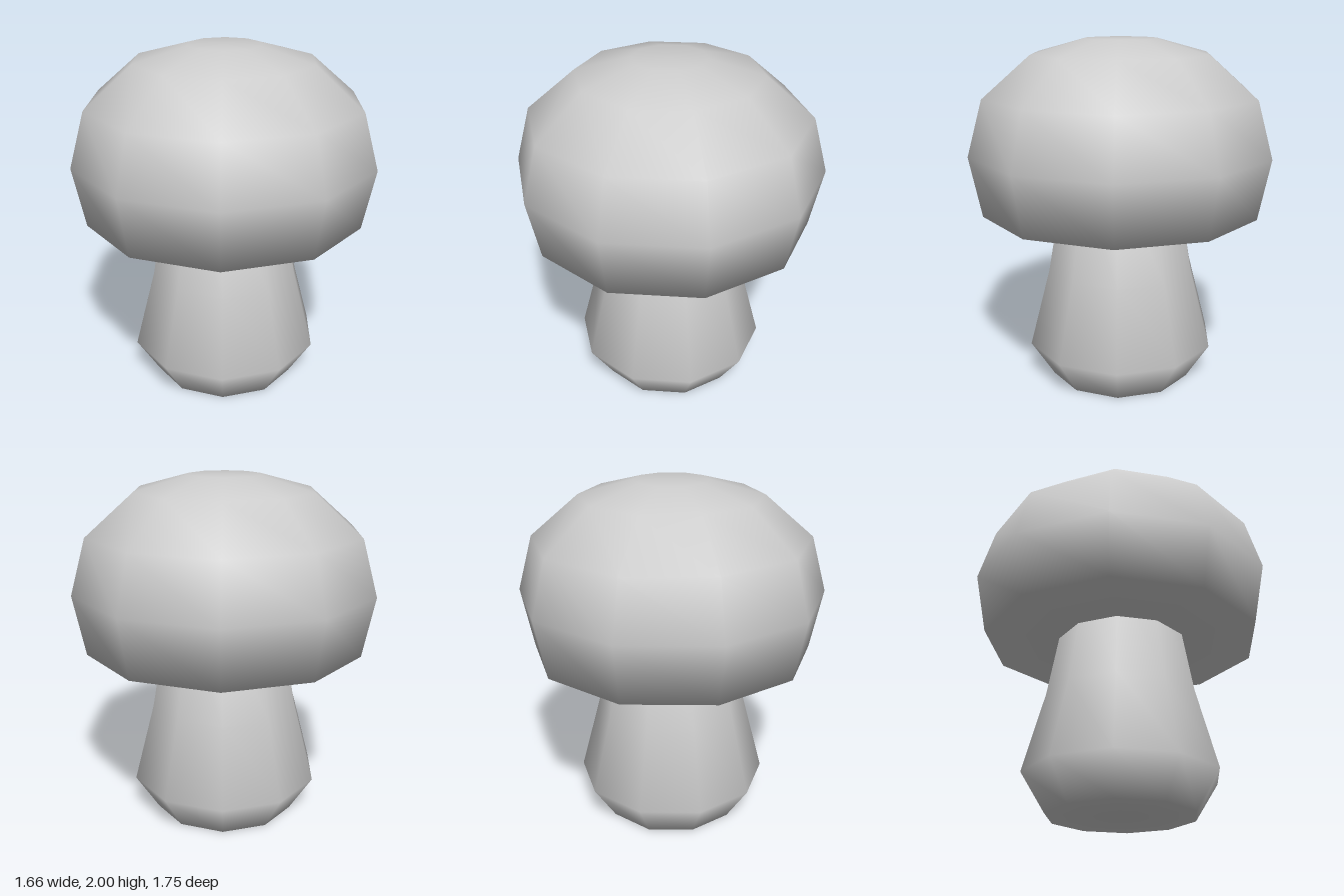
import * as THREE from 'three';
import { mergeVertices } from 'three/addons/utils/BufferGeometryUtils.js';

const SIDES = 10;

// Closed ten-sided solid of revolution, smooth over its whole surface
function smoothTurned(profile) {
  const points = profile.map(([r, y]) => new THREE.Vector2(r, y));
  let geometry = new THREE.LatheGeometry(points, SIDES);
  geometry.deleteAttribute('uv');
  geometry.deleteAttribute('normal');
  geometry = mergeVertices(geometry, 1e-4);

  // Drop the collapsed triangles at the poles
  const kept = [];
  const index = geometry.index.array;
  for (let i = 0; i < index.length; i += 3) {
    const [a, b, c] = [index[i], index[i + 1], index[i + 2]];
    if (a !== b && b !== c && c !== a) kept.push(a, b, c);
  }
  geometry.setIndex(kept);
  geometry.computeVertexNormals();
  return geometry;
}

export function createModel() {
  const model = new THREE.Group();
  model.name = 'mushroom';

  const grey = new THREE.MeshStandardMaterial({ color: 0xcccccc });
  grey.name = 'light grey';

  // Stem: bulging foot, narrowing up into the cap
  const stem = new THREE.Mesh(smoothTurned([
    [0, 0], [0.42, 0], [0.557, 0.215], [0.437, 0.67], [0.335, 1.25], [0, 1.25],
  ]), grey);
  stem.name = 'stem';

  // Cap: flat underside, domed sides and a small flat crown
  const cap = new THREE.Mesh(smoothTurned([
    [0, 1.025], [0.807, 1.025], [0.875, 1.37], [0.787, 1.685],
    [0.515, 1.917], [0.21, 2], [0, 2],
  ]), grey);
  cap.name = 'cap';

  model.add(stem, cap);
  return model;
}
